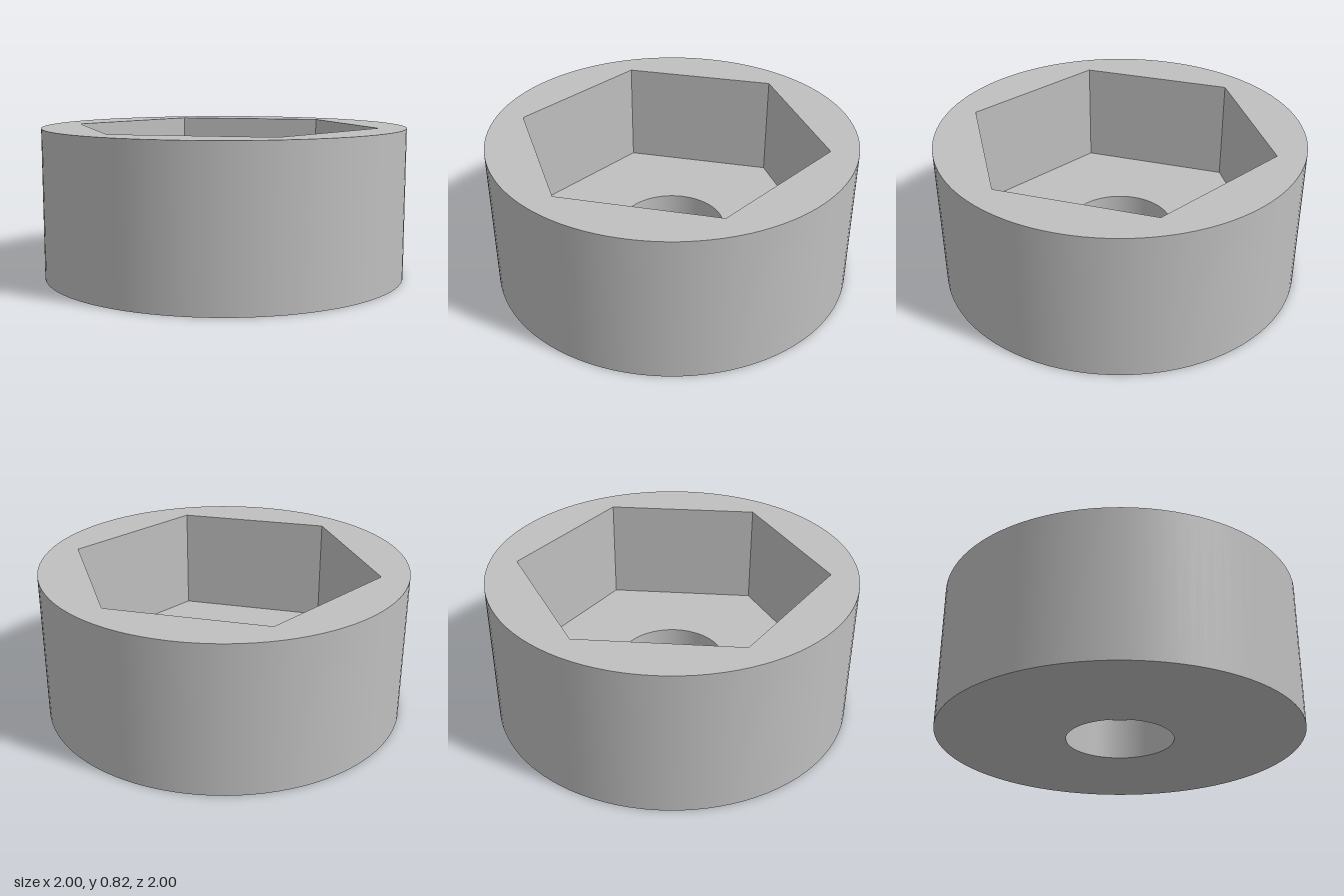
import * as THREE from 'three';

const RADIUS = 1, HEIGHT = 0.82, FLOOR = 0.235;
const HEX = 0.85, BORE = 0.295, SIDES = 96;

// Regular outline with a corner on the x axis
function outline(radius, sides, Type = THREE.Shape) {
  const points = [];
  for (let i = 0; i < sides; i++) {
    const a = (i / sides) * Math.PI * 2;
    points.push(new THREE.Vector2(Math.cos(a) * radius, Math.sin(a) * radius));
  }
  return new Type(points);
}

// Horizontal face with a hole, facing up or down
function plate(outer, hole, y, up) {
  outer.holes.push(hole);
  return new THREE.ShapeGeometry(outer).rotateX(up ? -Math.PI / 2 : Math.PI / 2).translate(0, y, 0);
}

// Open upright wall between two heights
function wall(radius, sides, y0, y1) {
  return new THREE.CylinderGeometry(radius, radius, y1 - y0, sides, 1, true, Math.PI / 2)
    .translate(0, (y0 + y1) / 2, 0);
}

// Turn a wall so it faces the axis
function inward(geometry) {
  geometry.scale(-1, 1, 1);
  const n = geometry.attributes.normal;
  for (let i = 0; i < n.count; i++) n.setXYZ(i, -n.getX(i), -n.getY(i), -n.getZ(i));
  return geometry;
}

export function createModel() {
  const group = new THREE.Group();
  group.name = 'hexSocketCollar';
  const metal = new THREE.MeshStandardMaterial({ color: 0xbfbfbf });
  metal.name = 'grey metal';

  const add = (name, geometry) => {
    const mesh = new THREE.Mesh(geometry, metal);
    mesh.name = name;
    group.add(mesh);
  };

  // Outer body
  add('outerWall', wall(RADIUS, SIDES, 0, HEIGHT));
  add('topRim', plate(outline(RADIUS, SIDES), outline(HEX, 6, THREE.Path), HEIGHT, true));
  add('underside', plate(outline(RADIUS, SIDES), outline(BORE, SIDES, THREE.Path), 0, false));

  // Hexagonal pocket with flat sides
  const hexWall = inward(wall(HEX, 6, FLOOR, HEIGHT)).toNonIndexed();
  hexWall.computeVertexNormals();
  add('socketWall', hexWall);
  add('socketFloor', plate(outline(HEX, 6), outline(BORE, SIDES, THREE.Path), FLOOR, true));

  // Round bore through the floor
  add('boreWall', inward(wall(BORE, SIDES, 0, FLOOR)));
  return group;
}
